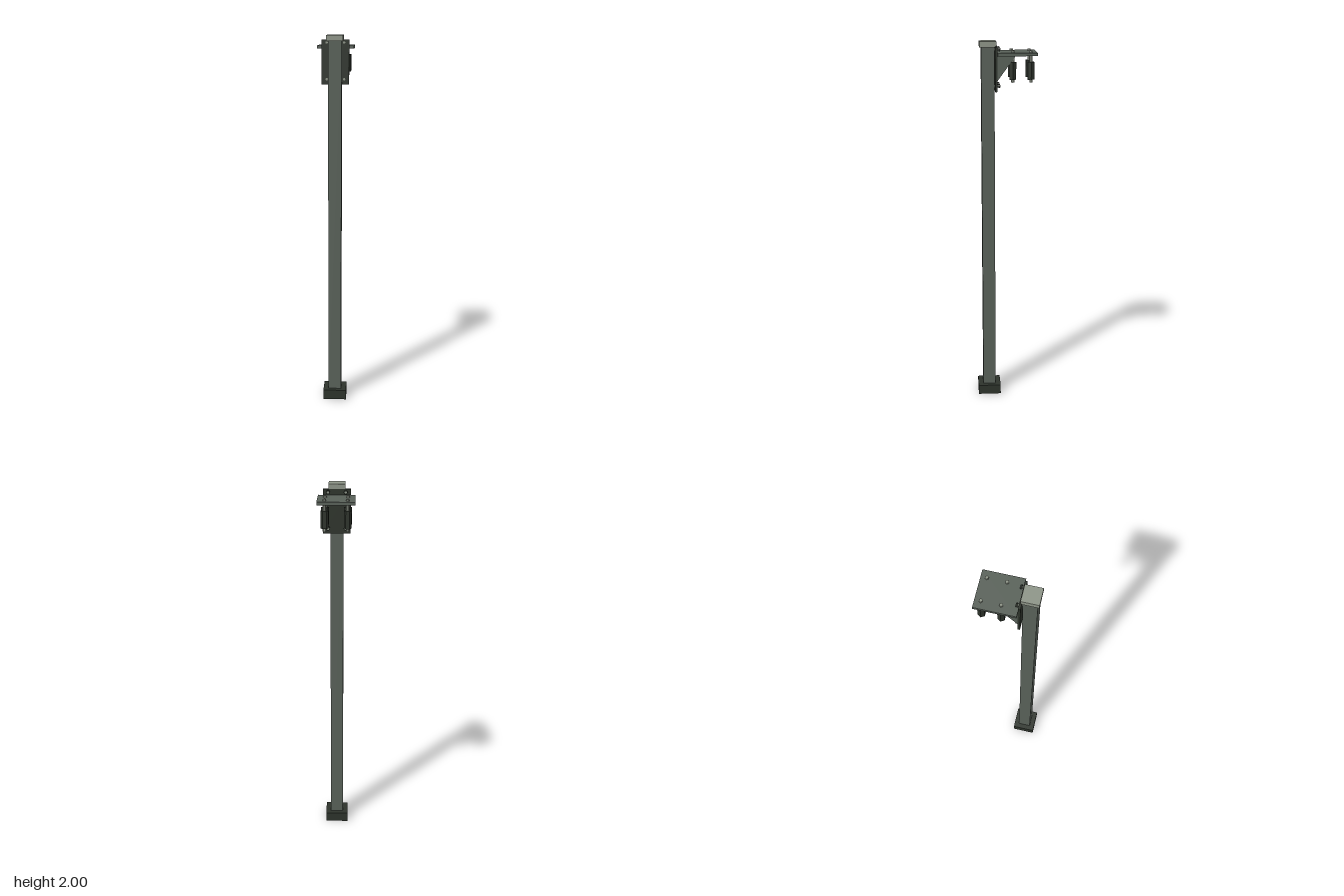
import * as THREE from 'three';

export function createModel() {
  const model = new THREE.Group();
  const mat = (name, color) => {
    const m = new THREE.MeshStandardMaterial({ color });
    m.name = name;
    return m;
  };
  const steel = mat('green grey steel', 0x596159);
  const dark = mat('dark green grey', 0x2d332b);
  const pale = mat('pale grey', 0x8d9487);

  const add = (name, geo, material, x = 0, y = 0, z = 0) => {
    const mesh = new THREE.Mesh(geo, material);
    mesh.name = name;
    mesh.position.set(x, y, z);
    model.add(mesh);
    return mesh;
  };
  const box = (name, material, w, y0, y1, z0, z1, x = 0) =>
    add(name, new THREE.BoxGeometry(w, y1 - y0, z1 - z0), material, x, (y0 + y1) / 2, (z0 + z1) / 2);
  // six-sided bar, upright with corners pointing along x
  const hex = (r, h) => new THREE.CylinderGeometry(r, r, h, 6).toNonIndexed().rotateY(Math.PI / 2);
  const flat = (g) => { g.computeVertexNormals(); return g; };

  const postZ = 0.094;

  // post with cap
  box('post', steel, 0.07, 0.04, 1.98, postZ - 0.035, postZ + 0.035);
  box('cap', pale, 0.088, 1.97, 2, postZ - 0.044, postZ + 0.044);

  // foot: closed on top, hollow underneath
  const b = 0.063, t = 0.014;
  box('footTop', dark, b * 2, 0.035, 0.053, postZ - b, postZ + b);
  for (const s of [-1, 1]) {
    box('footSide', dark, t, 0, 0.035, postZ - b, postZ + b, s * (b - t / 2));
    const zc = postZ + s * (b - t / 2);
    box('footWall', dark, (b - t) * 2, 0, 0.035, zc - t / 2, zc + t / 2);
  }

  // bracket: mounting plate and shelf
  box('mountingPlate', dark, 0.146, 1.742, 1.975, 0.045, 0.057);
  box('shelf', steel, 0.196, 1.929, 1.945, -0.161, 0.045);

  // triangular gussets under the shelf
  const tri = new THREE.Shape([
    new THREE.Vector2(-0.045, 1.8),
    new THREE.Vector2(0.05, 1.929),
    new THREE.Vector2(-0.045, 1.929),
  ]);
  const gusset = new THREE.ExtrudeGeometry(tri, { depth: 0.01, bevelEnabled: false });
  gusset.translate(0, 0, -0.005).rotateY(Math.PI / 2);

  const stud = flat(hex(0.009, 0.165));
  const sleeve = flat(hex(0.02, 0.09));
  const nut = flat(hex(0.011, 0.009).rotateX(Math.PI / 2));
  const bolt = flat(hex(0.007, 0.03).rotateX(Math.PI / 2));

  for (const s of [-1, 1]) {
    add('gusset', gusset, steel, s * 0.066, 0, 0);
    // hanging studs with dark sleeves
    for (const z of [-0.13, -0.035]) {
      add('stud', stud, pale, s * 0.059, 1.8725, z);
      add('sleeve', sleeve, dark, s * 0.059, 1.851, z);
    }
    // bolts through the mounting plate
    for (const y of [1.77, 1.96]) {
      add('plateBolt', bolt, pale, s * 0.046, y, 0.044);
      add('plateNut', nut, dark, s * 0.046, y, 0.035);
    }
  }
  return model;
}
